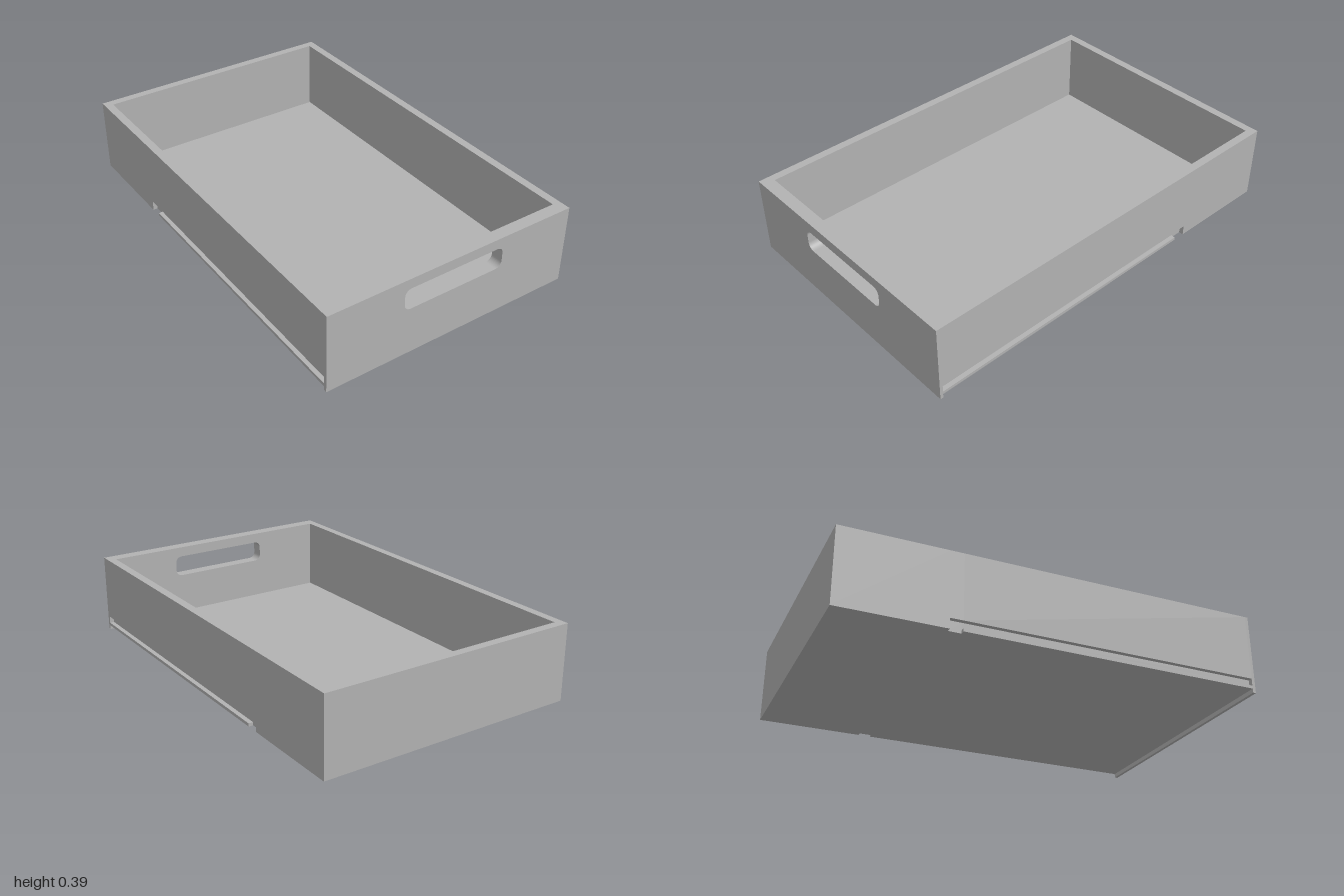
import * as THREE from 'three';

const W = 0.64, TOP = 0.39, BASE = 0.02;   // outer half width, rim and underside heights
const INNER = 0.6, FLOOR = 0.033;          // inner half width, floor surface
const LIP = 0.985;                         // back of the thin front face

// Rounded hand slot outline
function slotPath() {
  const x = 0.26, y0 = 0.235, y1 = 0.34, r = 0.032;
  const p = new THREE.Path();
  p.moveTo(-x + r, y0);
  p.lineTo(x - r, y0);
  p.absarc(x - r, y0 + r, r, -Math.PI / 2, 0, false);
  p.absarc(x - r, y1 - r, r, 0, Math.PI / 2, false);
  p.absarc(-x + r, y1 - r, r, Math.PI / 2, Math.PI, false);
  p.absarc(-x + r, y0 + r, r, Math.PI, Math.PI * 1.5, false);
  return p;
}

const outline = (pts) => new THREE.Shape(pts.map(([x, y]) => new THREE.Vector2(x, y)));
const rect = (w, y0, y1) => outline([[-w, y0], [w, y0], [w, y1], [-w, y1]]);

export function createModel() {
  const model = new THREE.Group();
  model.name = 'drawer';
  const grey = new THREE.MeshStandardMaterial({ color: 0xb2b2b2 });
  grey.name = 'grey';

  // Extrude an xy outline between two z positions
  const add = (name, shape, z0, z1) => {
    const geo = new THREE.ExtrudeGeometry(shape, { depth: z1 - z0, bevelEnabled: false, curveSegments: 8 });
    geo.translate(0, 0, z0);
    const mesh = new THREE.Mesh(geo, grey);
    mesh.name = name;
    model.add(mesh);
  };

  // Front: full-height face with a lower lip, backed by the thicker wall
  const face = rect(W, 0, TOP);
  face.holes.push(slotPath());
  add('frontFace', face, LIP, 1);
  const backing = rect(INNER, BASE, TOP);
  backing.holes.push(slotPath());
  add('frontWall', backing, 0.94, LIP);

  // Back wall and floor
  add('backWall', rect(INNER, BASE, TOP), -1, -0.96);
  add('floor', rect(INNER, BASE, FLOOR), -0.96, 0.94);

  // Side walls, with a runner groove along the front three quarters
  const cut = 0.618, grooveTop = 0.07, railTop = 0.035;
  for (const [side, s] of [['left', 1], ['right', -1]]) {
    const profile = (pts) => outline(pts.map(([x, y]) => [s * x, y]));
    const upper = [[W, grooveTop], [W, TOP], [INNER, TOP], [INNER, BASE]];
    add(side + 'WallRear', profile([[INNER, BASE], [W, BASE], [W, TOP], [INNER, TOP]]), -1, -0.5);
    add(side + 'WallNotch', profile([[cut, BASE], [cut, grooveTop], ...upper]), -0.5, -0.44);
    add(side + 'WallGrooved',
      profile([[W, BASE], [W, railTop], [cut, railTop], [cut, grooveTop], ...upper]), -0.44, LIP);
  }
  return model;
}
